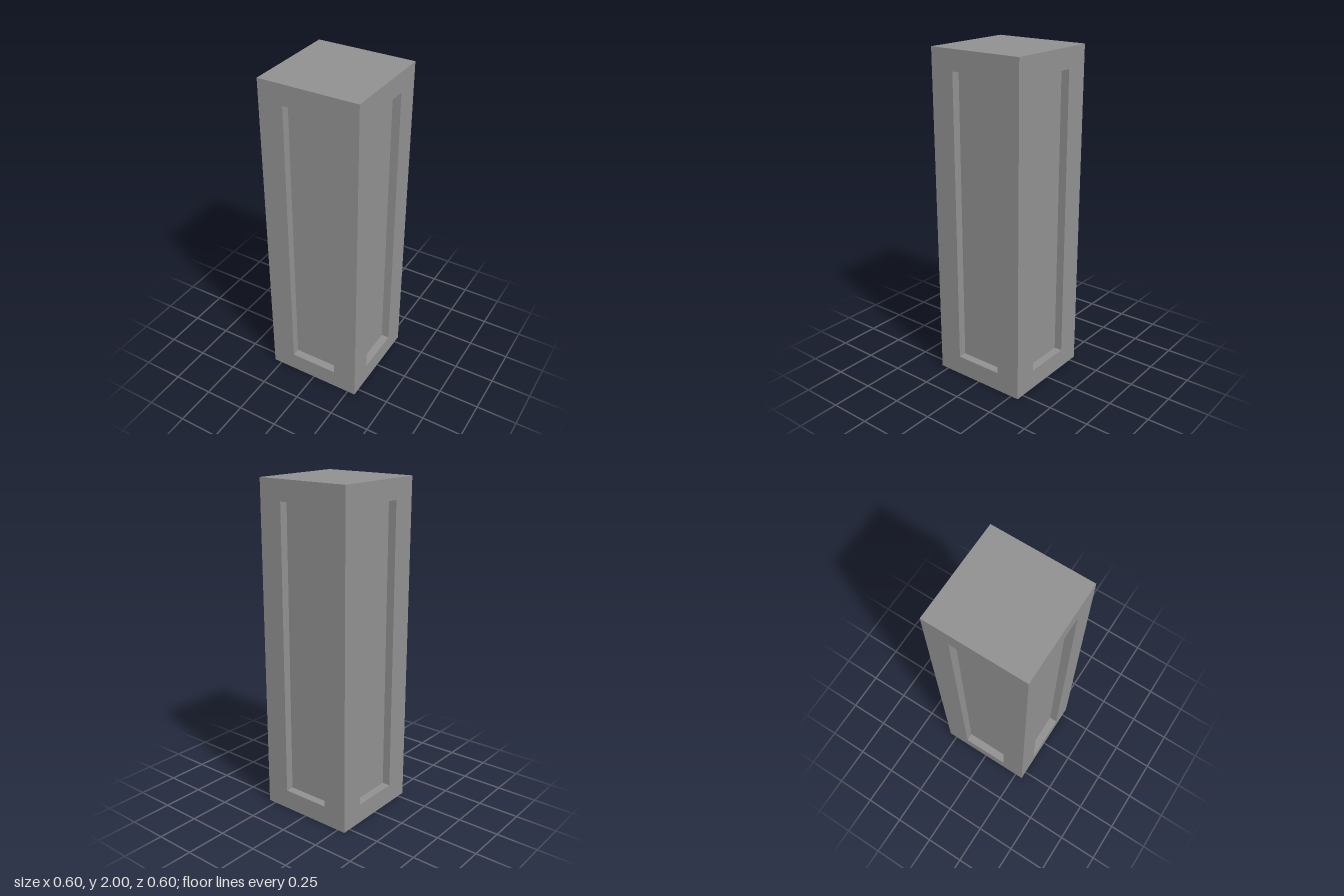
import * as THREE from 'three';
import { mergeGeometries } from 'three/addons/utils/BufferGeometryUtils.js';

const HALF = 0.3, HEIGHT = 2;                       // pillar
const PW = 0.15, P0 = 0.12, P1 = 1.88, DEPTH = 0.05; // recessed panel

function rect(path, x, y0, y1) {
  path.moveTo(-x, y0);
  path.lineTo(x, y0);
  path.lineTo(x, y1);
  path.lineTo(-x, y1);
  path.closePath();
  return path;
}

// Outer face with a rectangular opening
function frameGeometry() {
  const shape = rect(new THREE.Shape(), HALF, 0, HEIGHT);
  shape.holes.push(rect(new THREE.Path(), PW, P0, P1));
  return new THREE.ShapeGeometry(shape).translate(0, 0, HALF);
}

// Recess: back panel and the four walls around it
function recessGeometry() {
  const h = P1 - P0, mid = (P0 + P1) / 2, z = HALF - DEPTH / 2;
  const parts = [new THREE.PlaneGeometry(2 * PW, h).translate(0, mid, HALF - DEPTH)];
  for (const s of [-1, 1]) {
    parts.push(new THREE.PlaneGeometry(DEPTH, h).rotateY(-s * Math.PI / 2).translate(s * PW, mid, z));
    parts.push(new THREE.PlaneGeometry(2 * PW, DEPTH).rotateX(s * Math.PI / 2).translate(0, mid + s * h / 2, z));
  }
  return mergeGeometries(parts);
}

export function createModel() {
  const model = new THREE.Group();
  model.name = 'pillar';
  const material = new THREE.MeshStandardMaterial({ color: 0x909090, flatShading: true });
  const add = (parent, name, geometry) => {
    const mesh = new THREE.Mesh(geometry, material);
    mesh.name = name;
    parent.add(mesh);
  };

  // Four identical panelled sides
  const frame = frameGeometry(), recess = recessGeometry();
  ['front', 'left', 'back', 'right'].forEach((name, i) => {
    const side = new THREE.Group();
    side.name = name + 'Side';
    side.rotation.y = i * Math.PI / 2;
    add(side, name + 'Frame', frame);
    add(side, name + 'Recess', recess);
    model.add(side);
  });

  // Plain top and bottom
  const cap = () => new THREE.PlaneGeometry(2 * HALF, 2 * HALF);
  add(model, 'top', cap().rotateX(-Math.PI / 2).translate(0, HEIGHT, 0));
  add(model, 'bottom', cap().rotateX(Math.PI / 2));
  return model;
}
